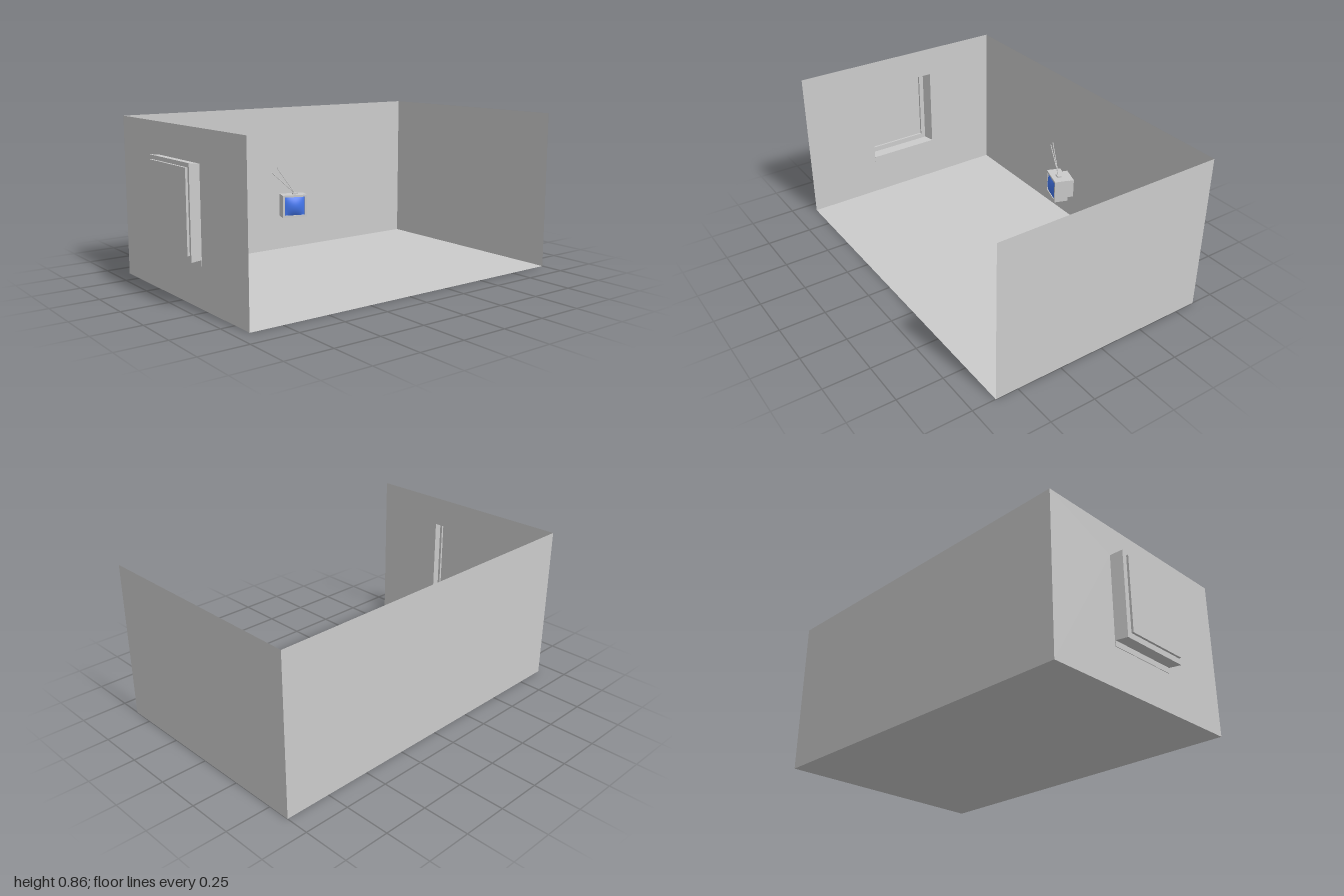
import * as THREE from 'three';

const grey = new THREE.MeshStandardMaterial({ color: 0xcccccc, side: THREE.DoubleSide });
const blue = new THREE.MeshStandardMaterial({ color: 0x4477ee, side: THREE.DoubleSide });

function add(parent, name, geometry, x = 0, y = 0, z = 0, material = grey) {
  const mesh = new THREE.Mesh(geometry, material);
  mesh.name = name;
  mesh.position.set(x, y, z);
  parent.add(mesh);
  return mesh;
}

// Outline of a rectangle as a shape or a hole
function rect(path, x0, x1, y0, y1) {
  path.moveTo(x0, y0).lineTo(x1, y0).lineTo(x1, y1).lineTo(x0, y1).closePath();
  return path;
}

// Flat-sided sleeve through rectangles [x, z0, z1, y0, y1], closed at the last one
function sleeve(rings) {
  const pos = [];
  const loops = rings.map(([x, z0, z1, y0, y1]) =>
    [[x, y0, z0], [x, y0, z1], [x, y1, z1], [x, y1, z0]]);
  const quad = (a, b, c, d) => pos.push(...a, ...b, ...c, ...a, ...c, ...d);
  for (let r = 0; r < loops.length - 1; r++) {
    for (let i = 0; i < 4; i++) {
      const j = (i + 1) % 4;
      quad(loops[r][j], loops[r][i], loops[r + 1][i], loops[r + 1][j]);
    }
  }
  const [a, b, c, d] = loops[loops.length - 1];
  quad(a, d, c, b);
  const g = new THREE.BufferGeometry();
  g.setAttribute('position', new THREE.Float32BufferAttribute(pos, 3));
  g.computeVertexNormals();
  return g;
}

function createRoom() {
  const room = new THREE.Group();
  room.name = 'room';
  const X0 = -0.925, X1 = 1, H = 0.86, D = 0.623;
  const W = X1 - X0, cx = (X0 + X1) / 2;

  add(room, 'floor', new THREE.PlaneGeometry(W, 2 * D).rotateX(-Math.PI / 2), cx);
  add(room, 'backWall', new THREE.PlaneGeometry(W, H), cx, H / 2, -D);
  add(room, 'sideWall', new THREE.PlaneGeometry(2 * D, H).rotateY(-Math.PI / 2), X1, H / 2);

  // Wall pierced by the window opening
  const wall = rect(new THREE.Shape(), -D, D, 0, H);
  wall.holes.push(rect(new THREE.Path(), -0.205, 0.205, 0.21, 0.695));
  add(room, 'windowWall', new THREE.ShapeGeometry(wall).rotateY(-Math.PI / 2), X0);

  // Slightly skewed reveal, frame and recessed pane
  add(room, 'windowRecess', sleeve([
    [X0, -0.205, 0.205, 0.24, 0.695],
    [-0.988, -0.19, 0.222, 0.24, 0.704],
    [-0.988, -0.163, 0.208, 0.27, 0.683],
    [-1, -0.163, 0.208, 0.27, 0.683],
  ]));
  add(room, 'windowSill', new THREE.BoxGeometry(0.006, 0.03, 0.41), X0, 0.225, 0);
  return room;
}

function createTelevision() {
  const tv = new THREE.Group();
  tv.name = 'television';
  const w = 0.145, h = 0.132, d = 0.08, rim = 0.012;

  // Casing with a raised rim around the screen
  add(tv, 'casing', new THREE.BoxGeometry(w, h, d - 0.008), 0, 0, -0.004);
  const frame = rect(new THREE.Shape(), -w / 2, w / 2, -h / 2, h / 2);
  frame.holes.push(rect(new THREE.Path(), -w / 2 + rim, w / 2 - rim, -h / 2 + rim, h / 2 - rim));
  add(tv, 'screenRim', new THREE.ExtrudeGeometry(frame, { depth: 0.008, bevelEnabled: false }),
    0, 0, d / 2 - 0.008);
  add(tv, 'tubeHousing', new THREE.BoxGeometry(0.112, 0.108, 0.042), 0, 0, -0.057);

  // Bulging screen
  const sw = w - 2 * rim, sh = h - 2 * rim;
  const screen = new THREE.PlaneGeometry(sw, sh, 12, 12);
  const p = screen.attributes.position;
  for (let i = 0; i < p.count; i++) {
    const u = p.getX(i) / (sw / 2), v = p.getY(i) / (sh / 2);
    p.setZ(i, 0.018 * (1 - u * u) * (1 - v * v));
  }
  screen.computeVertexNormals();
  add(tv, 'screen', screen, 0, 0, d / 2 - 0.005, blue);

  tv.position.set(0.044, 0.295, -0.46);
  tv.rotation.y = -0.33;
  return tv;
}

function createAntenna() {
  const antenna = new THREE.Group();
  antenna.name = 'antenna';
  const base = new THREE.Vector3(0.056, 0.364, -0.456);
  const foot = add(antenna, 'antennaBase', new THREE.BoxGeometry(0.032, 0.012, 0.022), ...base);
  foot.rotation.y = -0.33;

  // Two thin rods leaning to one side
  for (const tip of [[-0.078, 0.495, -0.497], [-0.048, 0.522, -0.488]]) {
    const line = new THREE.LineCurve3(base, new THREE.Vector3(...tip));
    add(antenna, 'antennaRod', new THREE.TubeGeometry(line, 1, 0.0025, 8));
  }
  return antenna;
}

export function createModel() {
  const model = new THREE.Group();
  model.name = 'roomWithTelevision';
  model.add(createRoom(), createTelevision(), createAntenna());
  return model;
}
